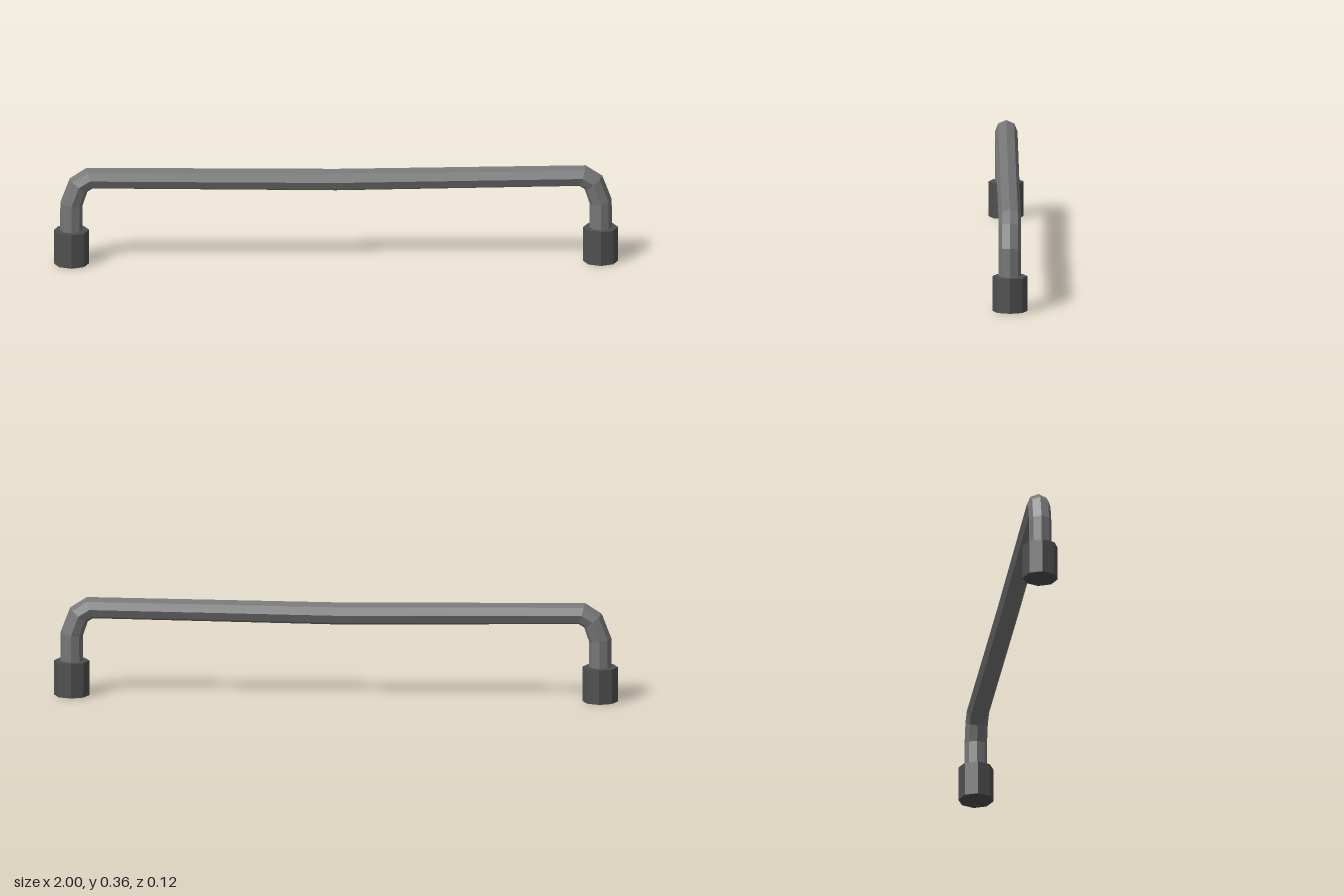
import * as THREE from 'three';

const SIDES = 8;
const LEG_X = 0.9375;

// Sweeps an octagonal section along a path in the xy plane, with mitred rings
function sweepBar(path, radius) {
  const positions = [], index = [];
  path.forEach((p, i) => {
    const before = path[Math.max(i - 1, 0)], after = path[Math.min(i + 1, path.length - 1)];
    const tangent = new THREE.Vector2();
    if (i > 0) tangent.add(p.clone().sub(before).normalize());
    if (i < path.length - 1) tangent.add(after.clone().sub(p).normalize());
    tangent.normalize();
    for (let j = 0; j < SIDES; j++) {
      const a = (j / SIDES) * Math.PI * 2;
      const out = Math.cos(a) * radius;
      positions.push(p.x + tangent.y * out, p.y - tangent.x * out, Math.sin(a) * radius);
      if (i < path.length - 1) {
        const k = (j + 1) % SIDES, r = i * SIDES, s = r + SIDES;
        index.push(r + j, s + j, r + k, s + j, s + k, r + k);
      }
    }
  });
  const geometry = new THREE.BufferGeometry();
  geometry.setAttribute('position', new THREE.Float32BufferAttribute(positions, 3));
  geometry.setIndex(index);
  geometry.computeVertexNormals();
  return geometry;
}

export function createModel() {
  const group = new THREE.Group();
  group.name = 'pullHandle';
  const barMaterial = new THREE.MeshStandardMaterial({ color: 0x777777, flatShading: true });
  const socketMaterial = new THREE.MeshStandardMaterial({ color: 0x505050, flatShading: true });

  // Bent bar: leg, two-step bend, then a grip sagging slightly at the middle
  const half = [[LEG_X, 0.1], [LEG_X, 0.222], [0.912, 0.292], [0.873, 0.317]]
    .map(([x, y]) => new THREE.Vector2(x, y));
  const mirrored = half.map((p) => new THREE.Vector2(-p.x, p.y)).reverse();
  const path = [...half, new THREE.Vector2(0, 0.307), ...mirrored];
  const bar = new THREE.Mesh(sweepBar(path, 0.04), barMaterial);
  bar.name = 'bar';
  group.add(bar);

  // Octagonal mounting sockets
  for (const side of [1, -1]) {
    const socket = new THREE.Mesh(new THREE.CylinderGeometry(0.0625, 0.0625, 0.125, SIDES), socketMaterial);
    socket.name = side > 0 ? 'leftSocket' : 'rightSocket';
    socket.position.set(side * LEG_X, 0.0625, 0);
    group.add(socket);
  }
  return group;
}
